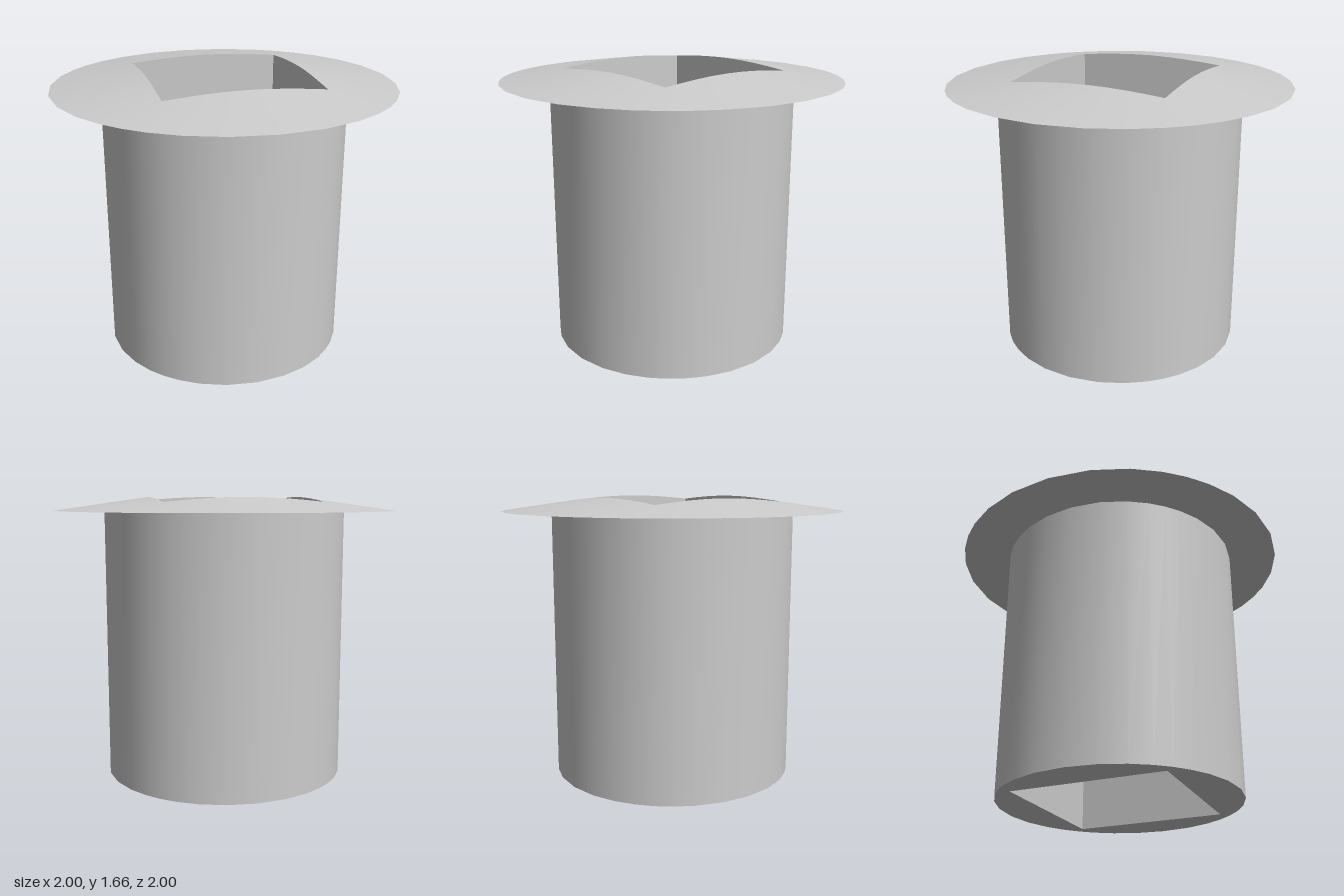
import * as THREE from 'three';

const HOLE = 0.457, SHAFT_R = 0.713, RIM_R = 1, FLANGE_Y = 1.577, SLOPE = 0.145;
const DIVS = 8; // divisions per side of the square hole

// Directions running round a unit square, eight per side
const dirs = [];
for (let side = 0; side < 4; side++) {
  for (let k = 0; k < DIVS; k++) {
    const t = -1 + (2 * k) / DIVS, a = (side * Math.PI) / 2;
    const c = Math.cos(a), s = Math.sin(a);
    dirs.push([c - t * s, s + t * c]);
  }
}

// Loops of points: round, or square around the hole
const circle = (r, y) => dirs.map(([x, z]) => {
  const l = Math.hypot(x, z);
  return [(x / l) * r, y, (z / l) * r];
});
const square = (height) => dirs.map(([x, z]) =>
  [x * HOLE, height(Math.hypot(x, z) * HOLE), z * HOLE]);

// Band of faces joining two loops
function band(name, from, to, material, flat = false) {
  const n = from.length, index = [];
  for (let i = 0; i < n; i++) {
    const j = (i + 1) % n;
    index.push(i, n + i, j, j, n + i, n + j);
  }
  let geo = new THREE.BufferGeometry();
  geo.setAttribute('position', new THREE.Float32BufferAttribute([...from, ...to].flat(), 3));
  geo.setIndex(index);
  if (flat) geo = geo.toNonIndexed();
  geo.computeVertexNormals();
  const mesh = new THREE.Mesh(geo, material);
  mesh.name = name;
  return mesh;
}

export function createModel() {
  const grey = new THREE.MeshStandardMaterial({ color: 0xcccccc });
  grey.name = 'light grey';

  const holeBottom = square(() => 0);
  const holeTop = square((r) => FLANGE_Y + (RIM_R - r) * SLOPE);
  const shaftBottom = circle(SHAFT_R, 0);
  const shaftTop = circle(SHAFT_R, FLANGE_Y);
  const rim = circle(RIM_R, FLANGE_Y);

  const group = new THREE.Group();
  group.name = 'flangedSleeve';
  group.add(
    band('shaftBase', holeBottom, shaftBottom, grey, true),
    band('shaftWall', shaftBottom, shaftTop, grey),
    band('flangeUnderside', shaftTop, rim, grey, true),
    band('flangeTop', rim, holeTop, grey),
    band('squareHoleWalls', holeTop, holeBottom, grey, true),
  );
  return group;
}
